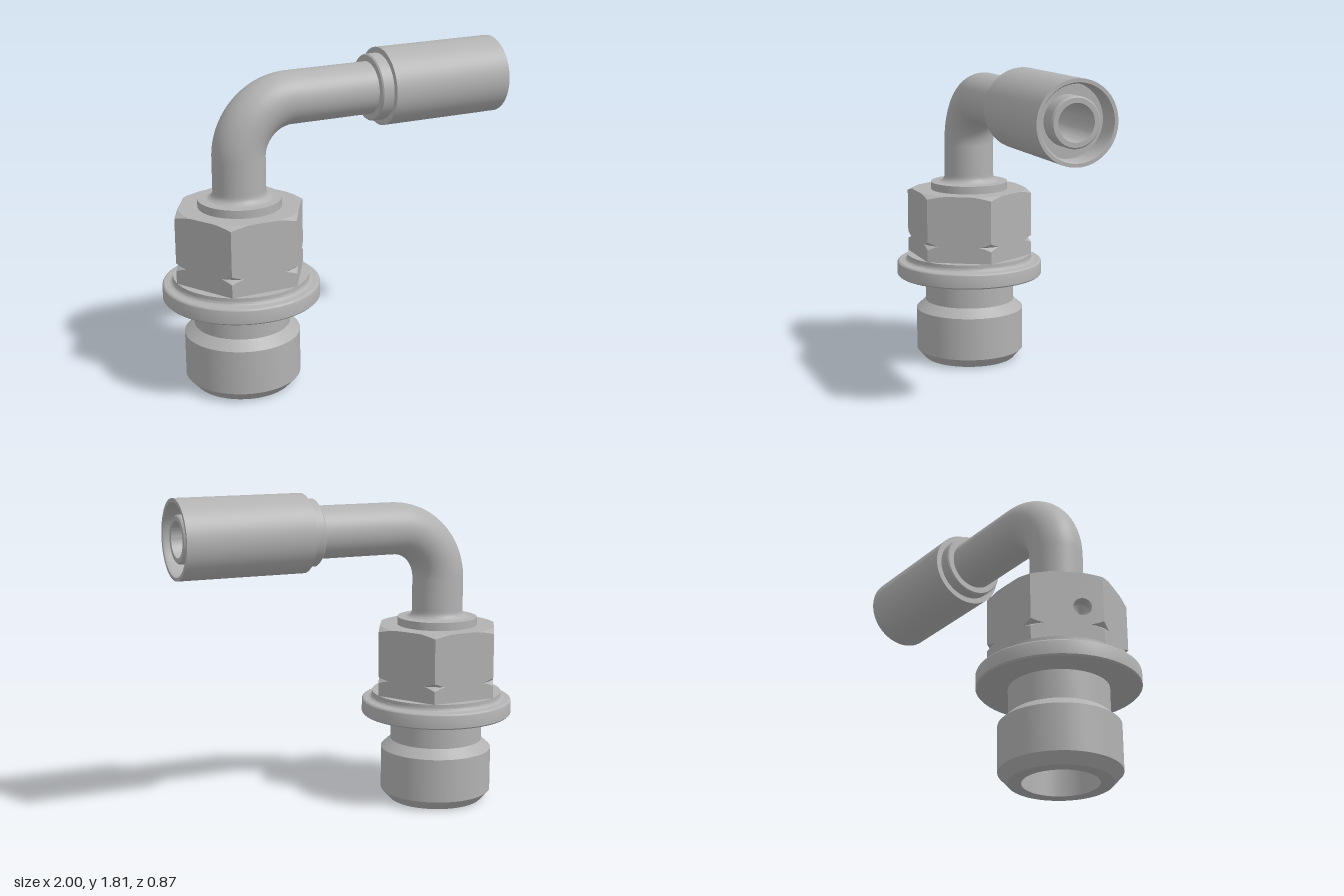
import * as THREE from 'three';
import { toCreasedNormals } from 'three/addons/utils/BufferGeometryUtils.js';

const AXIS = -0.565;  // x of the vertical axis
const PIPE_Y = 1.595; // height of the horizontal axis
const FLAT = 0.325;   // hex nut: axis to flat

export function createModel() {
  const model = new THREE.Group();
  const steel = new THREE.MeshStandardMaterial({ color: 0xb2b2b2 });
  steel.name = 'steel grey';

  const add = (name, geometry, parent = model) => {
    const mesh = new THREE.Mesh(geometry, steel);
    mesh.name = name;
    parent.add(mesh);
    return mesh;
  };
  const turned = (points) => toCreasedNormals(
    new THREE.LatheGeometry(points.map(([r, y]) => new THREE.Vector2(r, y)), 72), 0.55);
  // quarter fillet, concave towards (cx, cy)
  const arc = (cx, cy, r, from, to, n = 6) => Array.from({ length: n + 1 }, (_, i) => {
    const a = from + (to - from) * i / n;
    return [cx + r * Math.cos(a), cy + r * Math.sin(a)];
  });

  // Plug end with bore, undercut, flange and step below the nut
  add('threadedBase', turned([
    [0, 0.6], [0.2, 0.5], [0.2, 0], [0.27, 0], [0.32, 0.055], [0.32, 0.305],
    [0.265, 0.355], [0.265, 0.51], [0.425, 0.51], [0.433, 0.518],
    ...arc(0.418, 0.585, 0.015, 0, Math.PI / 2),
    ...arc(0.395, 0.622, 0.022, -Math.PI / 2, -Math.PI),
    [0.373, 0.64], [0, 0.64],
  ])).position.x = AXIS;

  // Hex nut, with chamfered top and a V groove cutting the corners
  const nut = new THREE.Group();
  nut.name = 'hexNut';
  nut.position.x = AXIS;
  model.add(nut);
  const column = (a) => {
    const hex = FLAT / Math.cos(a);
    const groove = Math.max(0, hex - 0.348) * 0.8;
    const cut = Math.max(0, hex - 0.335) * 0.5;
    return [[0, 0.64], [hex, 0.64], [hex, 0.735 - groove], [Math.min(hex, 0.348), 0.735],
      [hex, 0.735 + groove], [hex, 1.03 - cut], [Math.min(hex, 0.335), 1.03], [0, 1.03]];
  };
  const STEPS = 12;
  const angles = Array.from({ length: STEPS + 1 }, (_, i) => (i / STEPS - 0.5) * Math.PI / 3);
  const nutSide = (pierced) => {
    const pos = [];
    const at = (a, [r, y]) => [r * Math.sin(a), y, r * Math.cos(a)];
    for (let i = 0; i < STEPS; i++) {
      const p = column(angles[i]), q = column(angles[i + 1]);
      for (let j = 0; j < p.length - 1; j++) {
        if (pierced && j === 4) continue;
        const A = at(angles[i], p[j]), B = at(angles[i + 1], q[j]);
        const C = at(angles[i + 1], q[j + 1]), D = at(angles[i], p[j + 1]);
        if (j > 0) pos.push(...A, ...B, ...C);
        if (j < p.length - 2) pos.push(...A, ...C, ...D);
        if (j === 0) pos.push(...A, ...C, ...D);
        if (j === p.length - 2) pos.push(...A, ...B, ...C);
      }
    }
    const g = new THREE.BufferGeometry();
    g.setAttribute('position', new THREE.Float32BufferAttribute(pos, 3));
    g.computeVertexNormals();
    return toCreasedNormals(g, 0.3);
  };
  const PIERCED = 3;
  for (let k = 0; k < 6; k++) {
    add('nutSide', nutSide(k === PIERCED), nut).rotation.y = k * Math.PI / 3;
  }

  // The side facing back and left has a small drilled pit
  const drilled = new THREE.Group();
  drilled.name = 'drilledSide';
  nut.add(drilled);
  const outline = (row) => angles.map((a) =>
    new THREE.Vector2(FLAT * Math.tan(a), column(a)[row][1]));
  const face = new THREE.Shape([...outline(4), ...outline(5).reverse()]);
  const HOLE = { u: 0.08, y: 0.835, r: 0.048 };
  face.holes.push(new THREE.Path().absarc(HOLE.u, HOLE.y, HOLE.r, 0, Math.PI * 2, true));
  add('drilledFace', new THREE.ShapeGeometry(face, 20), drilled).position.z = FLAT;
  const pit = turned([[0, -0.1], [HOLE.r, -0.07], [HOLE.r, 0]].map(([r, y]) => [r, y]).reverse());
  pit.rotateX(Math.PI / 2);
  add('drilledPit', pit, drilled).position.set(HOLE.u, HOLE.y, FLAT);
  // pit walls face inwards
  drilled.rotation.y = PIERCED * Math.PI / 3;
  // nut sides point to +z first, so the drilled side is turned on to the back left
  const turn = Math.PI / 3;
  nut.rotation.y = turn;

  // Collar and fillet where the pipe leaves the nut
  add('neckCollar', turned([
    [0.228, 1.02], [0.228, 1.075], ...arc(0.185, 1.115, 0.04, -Math.PI / 2, -Math.PI), [0.145, 1.13],
  ])).position.x = AXIS;

  // Bent pipe
  const R = 0.295, K = R * 0.5523;
  const v = (x, y) => new THREE.Vector3(x, y, 0);
  const path = new THREE.CurvePath();
  path.add(new THREE.LineCurve3(v(AXIS, 1.05), v(AXIS, PIPE_Y - R)));
  path.add(new THREE.CubicBezierCurve3(v(AXIS, PIPE_Y - R), v(AXIS, PIPE_Y - R + K),
    v(AXIS + R - K, PIPE_Y), v(AXIS + R, PIPE_Y)));
  path.add(new THREE.LineCurve3(v(AXIS + R, PIPE_Y), v(0.25, PIPE_Y)));
  add('bentPipe', new THREE.TubeGeometry(path, 100, 0.145, 48));

  // Crimp sleeve with its collar and recessed end, lying along x
  const lying = (name, points) => {
    add(name, turned(points).rotateZ(-Math.PI / 2)).position.y = PIPE_Y;
  };
  lying('sleeveCollar', [[0.14, 0.21], [0.178, 0.21], [0.185, 0.217], [0.185, 0.29]]);
  lying('crimpSleeve', [[0.18, 0.28], [0.217, 0.28], [0.217, 1], [0.198, 1],
    [0.19, 0.985], [0.19, 0.88], [0.12, 0.88]]);
  lying('hoseNipple', [[0.13, 0.87], [0.13, 0.975], [0.122, 0.985], [0.097, 0.985],
    [0.097, 0.55], [0, 0.45]]);

  return model;
}
